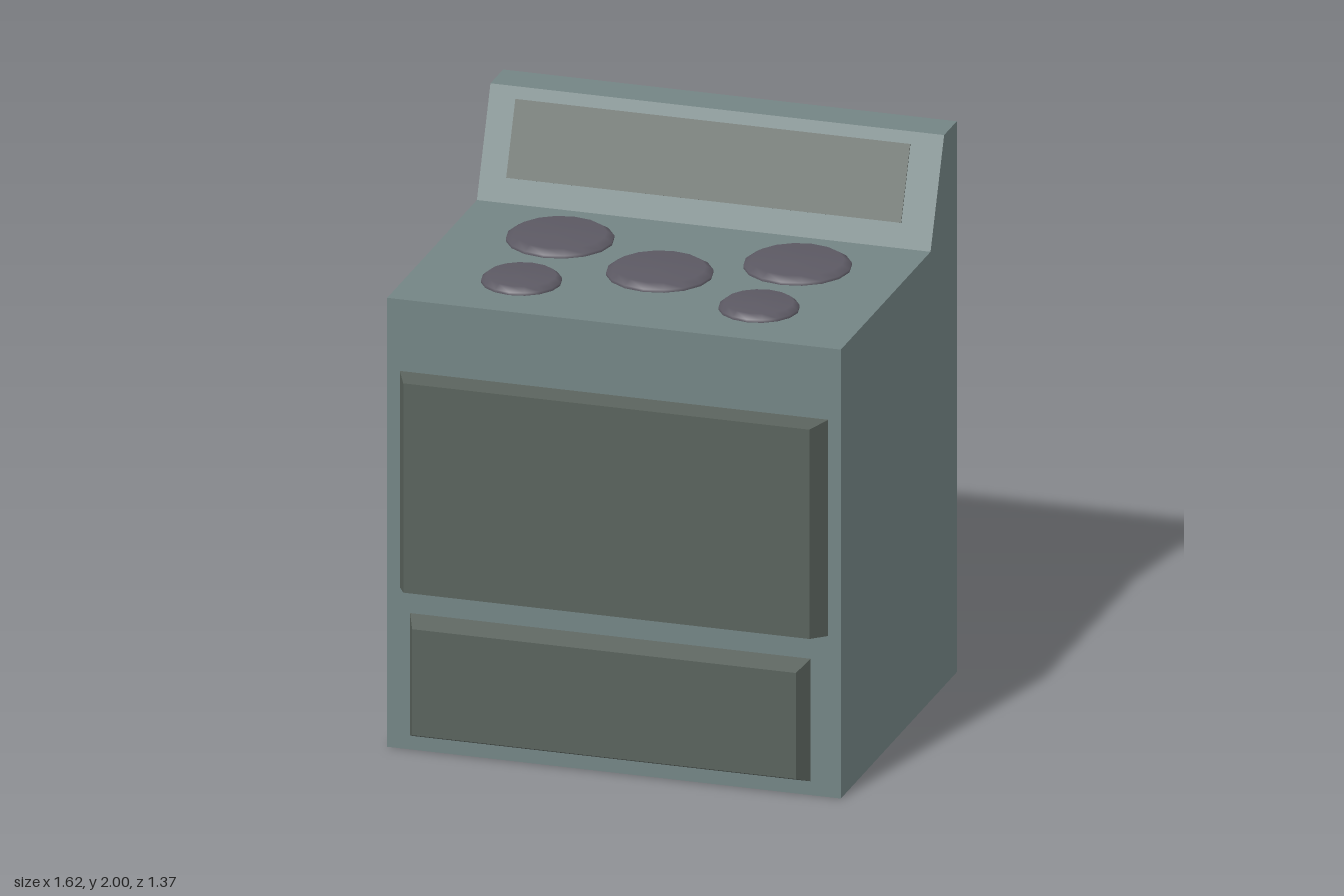
import * as THREE from 'three';

const mat = (color, extra = {}) => new THREE.MeshStandardMaterial({ color, ...extra });

export function createModel() {
  const group = new THREE.Group();
  const enamel = mat(0x738484);
  const glass = mat(0x59625c);
  const iron = mat(0x5c5963);

  const add = (name, geometry, material) => {
    const mesh = new THREE.Mesh(geometry, material);
    mesh.name = name;
    group.add(mesh);
    return mesh;
  };

  // Body: side profile (z, y) with sloped backsplash, extruded across the width
  const W = 1.62;
  const profile = new THREE.Shape([
    [0.6, 0], [0.6, 1.63], [-0.39, 1.63], [-0.54, 2], [-0.68, 2], [-0.68, 0],
  ].map(([z, y]) => new THREE.Vector2(-z, y)));
  const body = new THREE.ExtrudeGeometry(profile, { depth: W, bevelEnabled: false });
  body.translate(0, 0, -W / 2).rotateY(Math.PI / 2);
  add('body', body, enamel);

  // Front panels: boxes whose front face is drawn in on every side
  const bevelPanel = (name, x, y0, y1, width, depth, insetX, insetLow, insetHigh) => {
    const h = y1 - y0;
    const geo = new THREE.BoxGeometry(width, h, depth);
    const p = geo.attributes.position;
    for (let i = 0; i < p.count; i++) {
      if (p.getZ(i) < 0) continue;
      p.setX(i, p.getX(i) - Math.sign(p.getX(i)) * insetX);
      p.setY(i, p.getY(i) + (p.getY(i) < 0 ? insetLow : -insetHigh));
    }
    geo.computeVertexNormals();
    add(name, geo, glass).position.set(x, (y0 + y1) / 2, 0.6 + depth / 2);
  };
  bevelPanel('ovenDoor', 0, 0.585, 1.37, 1.53, 0.085, 0.04, 0.015, 0.01);
  bevelPanel('drawer', -0.013, 0.05, 0.495, 1.43, 0.07, 0.03, 0.03, 0.03);

  // Control panel: thin plate lying on the sloped backsplash
  const slope = Math.atan2(0.15, 0.37);
  const panel = add('controlPanel', new THREE.BoxGeometry(1.41, 0.27, 0.006), glass);
  panel.position.set(-0.01, 1.835, -0.473);
  panel.rotation.x = -slope;

  // Burners: low discs with a chamfered rim
  const burner = (name, x, z, r) => {
    const rim = [[r, 0], [r, 0.01], [r * 0.86, 0.026], [0, 0.028]]
      .map(([px, py]) => new THREE.Vector2(px, py));
    add(name, new THREE.LatheGeometry(rim, 16), iron).position.set(x, 1.63, z);
  };
  burner('centreBurner', 0, 0.095, 0.183);
  for (const s of [-1, 1]) {
    const side = s > 0 ? 'left' : 'right';
    burner(side + 'RearBurner', s * 0.424, -0.115, 0.185);
    burner(side + 'FrontBurner', s * 0.424, 0.31, 0.138);
  }

  return group;
}
